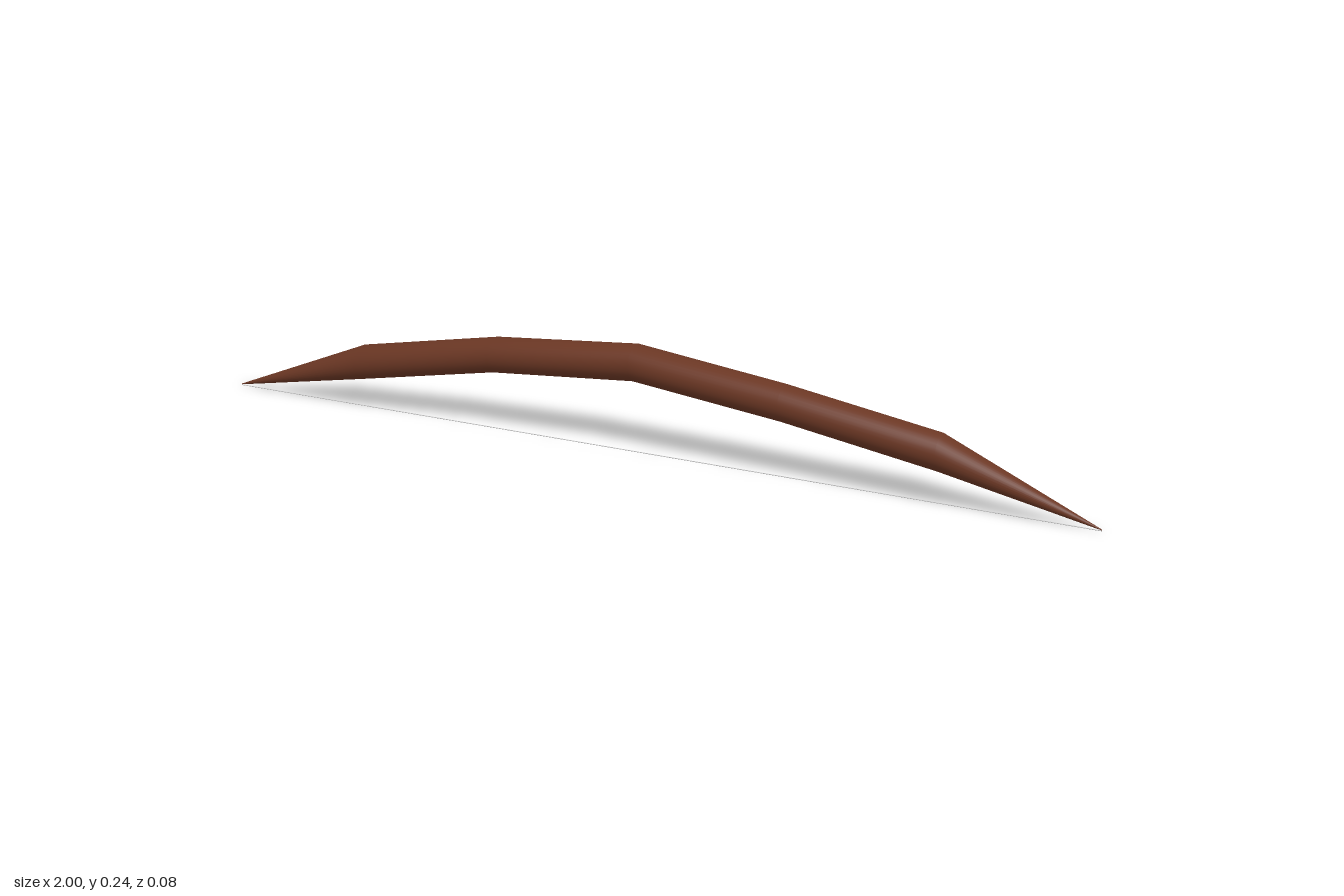
import * as THREE from 'three';

// Limb stations from tip to tip: x, centre height, vertical radius, depth radius
const stations = [
  [-1, 0.003, 0.001, 0.001],
  [-0.667, 0.107, 0.039, 0.0415],
  [-0.333, 0.173, 0.039, 0.0415],
  [0, 0.204, 0.04, 0.0415],
  [0.333, 0.165, 0.039, 0.0415],
  [0.667, 0.112, 0.039, 0.0415],
  [1, 0.003, 0.001, 0.001],
];
const SIDES = 32;

// Skin elliptical rings into a closed, smooth limb
function loft(rings) {
  const positions = [], index = [];
  for (const [x, y, ry, rz] of rings) {
    for (let j = 0; j < SIDES; j++) {
      const a = (j / SIDES) * Math.PI * 2;
      positions.push(x, y + Math.cos(a) * ry, Math.sin(a) * rz);
    }
  }
  for (let i = 0; i < rings.length - 1; i++) {
    for (let j = 0; j < SIDES; j++) {
      const k = (j + 1) % SIDES;
      const a = i * SIDES + j, b = i * SIDES + k;
      const c = a + SIDES, d = b + SIDES;
      index.push(a, b, c, b, d, c);
    }
  }
  // Close the two tips
  const last = (rings.length - 1) * SIDES;
  for (let j = 1; j < SIDES - 1; j++) {
    index.push(0, j + 1, j, last, last + j, last + j + 1);
  }
  const geometry = new THREE.BufferGeometry();
  geometry.setAttribute('position', new THREE.Float32BufferAttribute(positions, 3));
  geometry.setIndex(index);
  geometry.computeVertexNormals();
  return geometry;
}

export function createModel() {
  const group = new THREE.Group();
  group.name = 'bow';

  // Curved wooden stave
  const stave = new THREE.Mesh(
    loft(stations),
    new THREE.MeshStandardMaterial({ color: 0x6b3724 })
  );
  stave.name = 'stave';
  group.add(stave);

  // Fine string stretched between the tips
  const string = new THREE.Mesh(
    new THREE.CylinderGeometry(0.001, 0.001, 2, 8),
    new THREE.MeshStandardMaterial({ color: 0xcccccc })
  );
  string.name = 'bowstring';
  string.rotation.z = Math.PI / 2;
  string.position.y = 0.001;
  group.add(string);

  return group;
}
